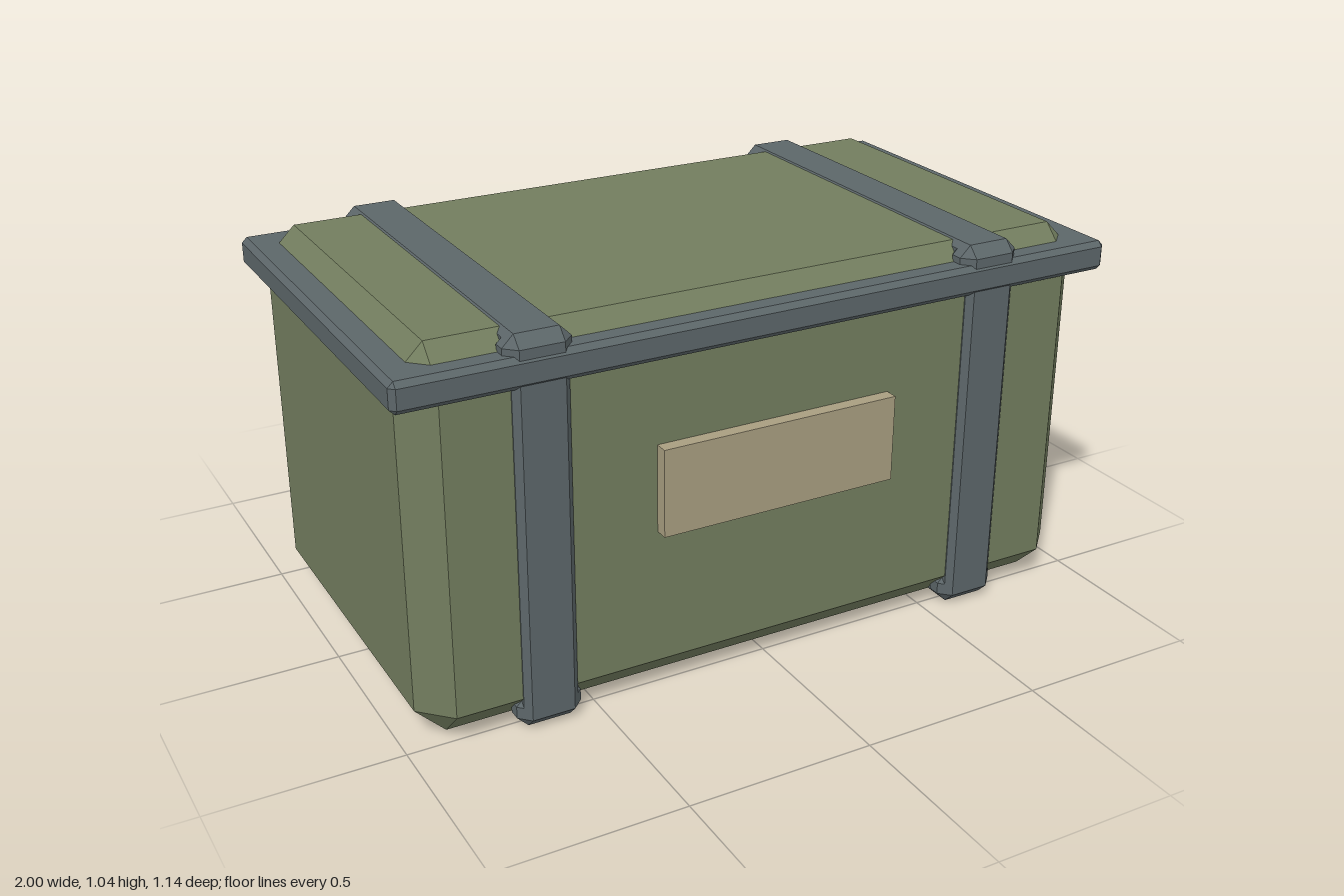
import * as THREE from 'three';
import { ConvexGeometry } from 'three/addons/geometries/ConvexGeometry.js';

const material = (name, color) => {
  const m = new THREE.MeshStandardMaterial({ color });
  m.name = name;
  return m;
};

// Box between two corners with every edge cut at 45 degrees
function chamferBox(min, max, c) {
  const points = [];
  const mid = min.map((v, i) => (v + max[i]) / 2);
  const half = min.map((v, i) => (max[i] - v) / 2);
  for (const sx of [-1, 1]) for (const sy of [-1, 1]) for (const sz of [-1, 1]) {
    const s = [sx, sy, sz];
    for (let full = 0; full < 3; full++) {
      const p = s.map((sign, i) => mid[i] + sign * (half[i] - (i === full ? 0 : c)));
      points.push(new THREE.Vector3(...p));
    }
  }
  return new ConvexGeometry(points);
}

export function createModel() {
  const green = material('olive green', 0x727d5e);
  const grey = material('metal grey', 0x5c6669);
  const tan = material('label tan', 0xa89e80);
  const model = new THREE.Group();
  model.name = 'crate';

  const add = (parent, name, geometry, mat) => {
    const mesh = new THREE.Mesh(geometry, mat);
    mesh.name = name;
    parent.add(mesh);
  };

  // Main box and the rim around its lid
  add(model, 'body', chamferBox([-0.96, 0.008, -0.549], [0.96, 1.036, 0.537], 0.079), green);
  add(model, 'lidRim', chamferBox([-1, 0.913, -0.572], [1, 0.993, 0.561], 0.014), grey);

  // Straps wrapped around the box, with wider corner guards
  const back = -0.567, front = 0.556, top = 1.04;
  for (const [side, x] of [['left', 0.634], ['right', -0.634]]) {
    const strap = new THREE.Group();
    strap.name = side + 'Strap';
    const w = 0.073, g = 0.087, size = 0.092;
    add(strap, 'uprightBand', chamferBox([x - w, 0.04, back], [x + w, top - 0.04, front], 0.016), grey);
    add(strap, 'flatBand', chamferBox([x - w, 0, back + 0.04], [x + w, top, front - 0.04], 0.016), grey);
    for (const y of [0, top - size]) for (const z of [back, front - size]) {
      add(strap, 'cornerGuard', chamferBox([x - g, y, z], [x + g, y + size, z + size], 0.03), grey);
    }
    model.add(strap);
  }

  // Blank label plate on the front
  const label = new THREE.BoxGeometry(0.667, 0.235, 0.06);
  label.translate(0, 0.572, 0.543);
  add(model, 'labelPlate', label, tan);

  return model;
}
